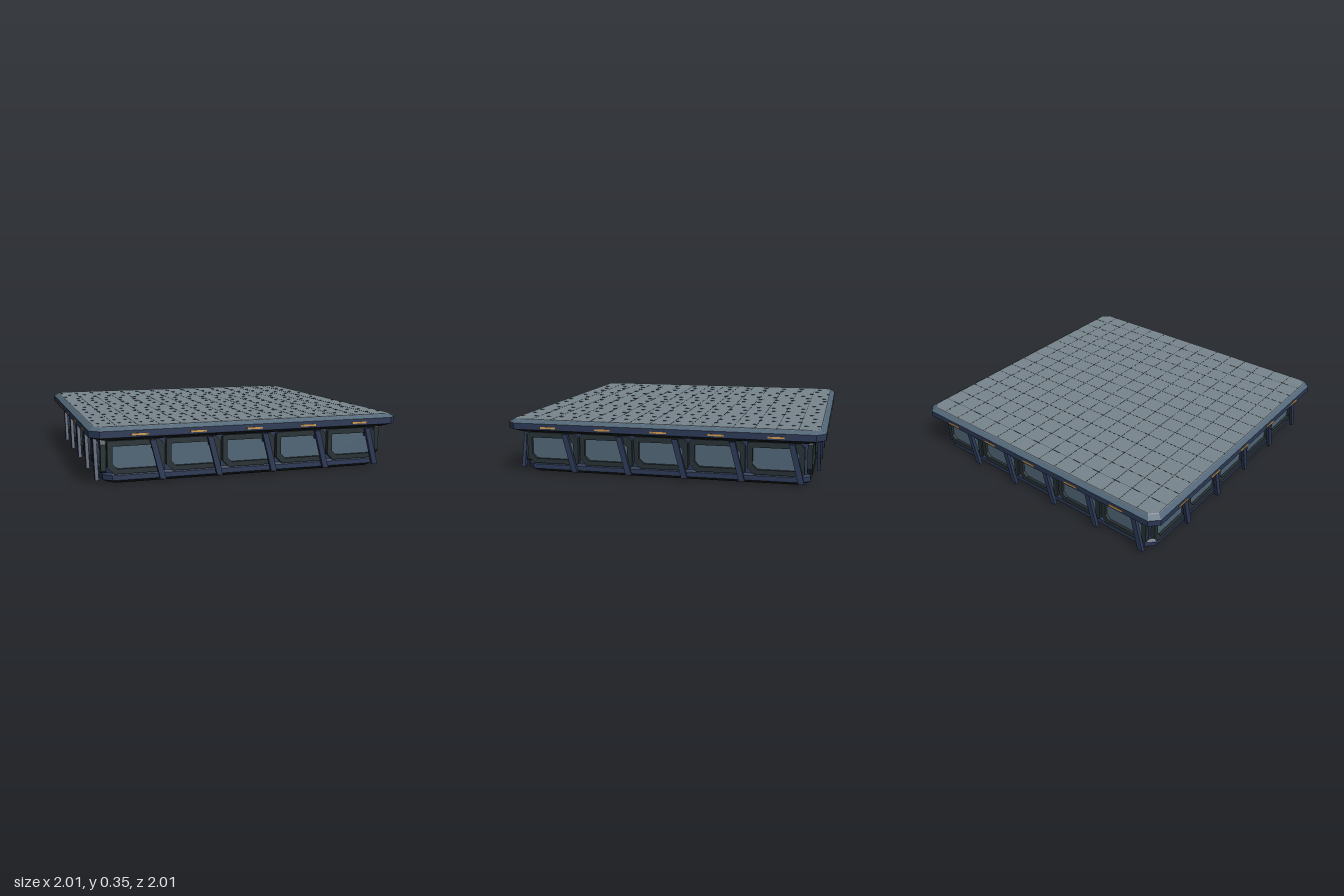
import * as THREE from 'three';

const mat = (name, color) => {
  const m = new THREE.MeshStandardMaterial({ color });
  m.name = name;
  return m;
};

// Stacked chamfered-square rings [half width, corner cut, y], optionally capped
function ringStack(rings, capBottom, capTop) {
  const loops = rings.map(([h, c, y]) => [
    [h, h - c], [h - c, h], [c - h, h], [-h, h - c],
    [-h, c - h], [c - h, -h], [h - c, -h], [h, c - h],
  ].map(([x, z]) => [x, y, z]));
  const pos = [];
  const tri = (...pts) => pts.forEach(p => pos.push(...p));
  for (let r = 0; r < loops.length - 1; r++) {
    for (let i = 0; i < 8; i++) {
      const j = (i + 1) % 8;
      const a = loops[r][i], b = loops[r][j], A = loops[r + 1][i], B = loops[r + 1][j];
      tri(a, A, b);
      tri(b, A, B);
    }
  }
  const first = loops[0], last = loops[loops.length - 1];
  for (let i = 0; i < 8; i++) {
    const j = (i + 1) % 8;
    if (capBottom) tri([0, first[0][1], 0], first[i], first[j]);
    if (capTop) tri([0, last[0][1], 0], last[j], last[i]);
  }
  const g = new THREE.BufferGeometry();
  g.setAttribute('position', new THREE.Float32BufferAttribute(pos, 3));
  g.computeVertexNormals();
  return g;
}

// Rectangle outline with a cut at each corner: bottom left, bottom right, top right, top left
function cutRect(x0, x1, y0, y1, [bl, br, tr, tl]) {
  return [
    [x0, y0 + bl], [x0 + bl, y0], [x1 - br, y0], [x1, y0 + br],
    [x1, y1 - tr], [x1 - tr, y1], [x0 + tl, y1], [x0, y1 - tl],
  ].map(p => new THREE.Vector2(...p));
}

function plate(points, z0, z1, hole) {
  const shape = new THREE.Shape(points);
  if (hole) shape.holes.push(new THREE.Path(hole));
  const g = new THREE.ExtrudeGeometry(shape, { depth: z1 - z0, bevelEnabled: false });
  return g.translate(0, 0, z0);
}

export function createModel() {
  const deckGrey = mat('deck grey', 0x79858d);
  const slate = mat('slate blue', 0x506576);
  const navy = mat('navy', 0x2b3855);
  const frameDark = mat('frame charcoal', 0x263034);
  const black = mat('underside black', 0x12191c);
  const amber = mat('amber light', 0xd09a50);

  const model = new THREE.Group();
  model.name = 'platform';
  const add = (parent, name, geometry, material) => {
    const m = new THREE.Mesh(geometry, material);
    m.name = name;
    parent.add(m);
    return m;
  };
  const box = (w, h, d, x, y, z) => new THREE.BoxGeometry(w, h, d).translate(x, y, z);

  // Hull: dark bottom, navy sill and recessed wall
  add(model, 'hullBottom', ringStack([[0.88, 0.05, 0], [0.91, 0.05, 0.02]], true, false), black);
  add(model, 'hullWall', ringStack([
    [0.91, 0.05, 0.02], [0.91, 0.05, 0.05], [0.895, 0.045, 0.062], [0.895, 0.045, 0.27],
  ], false, false), navy);

  // Deck: dark underside, navy rim, slate bevel and grey top
  add(model, 'deckUnderside', ringStack([[0.945, 0.05, 0.267], [1, 0.055, 0.29]], true, false), black);
  add(model, 'deckRim', ringStack([[1, 0.055, 0.29], [1, 0.055, 0.33]], false, false), navy);
  add(model, 'deckBevel', ringStack([[1, 0.055, 0.33], [0.97, 0.045, 0.349]], false, false), slate);
  add(model, 'deckTop', ringStack([[0.97, 0.045, 0.349], [0.966, 0.045, 0.352]], false, true), deckGrey);

  // Hairline seams dividing the deck into 15 x 15 tiles
  const pitch = 0.129;
  for (let i = -7; i < 7; i++) {
    const p = (i + 0.5) * pitch;
    add(model, 'deckSeamAcross', box(1.93, 0.001, 0.002, 0, 0.3522, p), black);
    add(model, 'deckSeamAlong', box(0.002, 0.001, 1.93, p, 0.3522, 0), black);
  }

  // One bay, centred on x = 0 and facing +z
  const frameGeo = plate(
    cutRect(-0.178, 0.165, 0.06, 0.26, [0.04, 0.012, 0.03, 0.012]), 0.89, 0.922,
    cutRect(-0.147, 0.133, 0.09, 0.226, [0.03, 0.004, 0.035, 0.004]));
  const glassGeo = box(0.3, 0.15, 0.006, -0.007, 0.158, 0.901);
  const strutGeo = plate([[0.132, 0.02], [0.168, 0.02], [0.107, 0.26], [0.071, 0.26]]
    .map(p => new THREE.Vector2(...p)), 0.935, 0.957);
  const bracketGeo = box(0.02, 0.04, 0.05, 0.097, 0.225, 0.915);
  const lightGeo = box(0.1, 0.011, 0.006, 0, 0.306, 1);

  // Five bays on each of the four sides
  for (let s = 0; s < 4; s++) {
    const side = new THREE.Group();
    side.name = ['frontSide', 'leftSide', 'backSide', 'rightSide'][s];
    side.rotation.y = s * Math.PI / 2;
    for (let i = -2; i <= 2; i++) {
      const bay = new THREE.Group();
      bay.name = 'bay';
      bay.position.x = i * 0.356;
      add(bay, 'windowFrame', frameGeo, frameDark);
      add(bay, 'windowPane', glassGeo, slate);
      add(bay, 'slantedStrut', strutGeo, navy);
      add(bay, 'strutBracket', bracketGeo, navy);
      add(bay, 'rimLight', lightGeo, amber);
      side.add(bay);
    }
    model.add(side);
  }
  return model;
}
